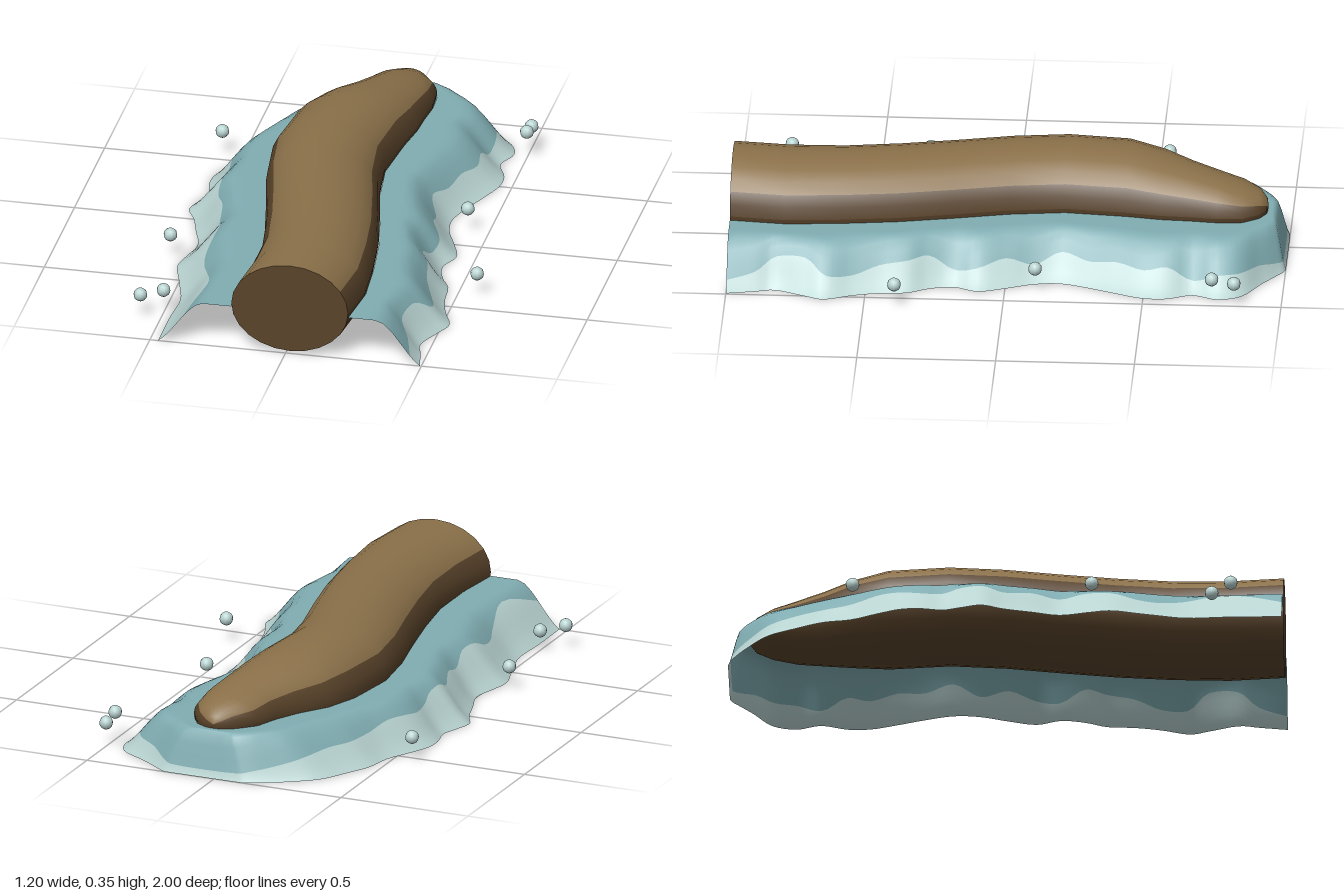
import * as THREE from 'three';

const mat = (name, color, side = THREE.FrontSide) => {
  const m = new THREE.MeshStandardMaterial({ color, side });
  m.name = name;
  return m;
};

// log cross-sections: z, left edge x, right edge x, half height
const SECTIONS = [
  [1, -0.2, 0.23, 0.17], [0.8, -0.18, 0.25, 0.17], [0.6, -0.18, 0.235, 0.17],
  [0.4, -0.21, 0.21, 0.17], [0.2, -0.25, 0.17, 0.17], [0, -0.295, 0.125, 0.17],
  [-0.2, -0.32, 0.1, 0.17], [-0.42, -0.295, 0.12, 0.17], [-0.55, -0.25, 0.14, 0.148],
  [-0.65, -0.18, 0.145, 0.128], [-0.75, -0.13, 0.155, 0.108], [-0.84, -0.1, 0.15, 0.083],
  [-0.9, -0.04, 0.11, 0.06], [-0.925, 0, 0.07, 0.03], [-0.93, 0.035, 0.035, 0],
];
const MID_Y = 0.18;

// water rim: z, outer x, fraction of the width where the foam begins
const LEFT_RIM = [
  [1, -0.47, 0.69], [0.8, -0.47, 0.52], [0.65, -0.465, 0.65], [0.55, -0.49, 0.7],
  [0.48, -0.51, 0.68], [0.38, -0.535, 0.58], [0.3, -0.52, 0.58], [0.2, -0.5, 0.68],
  [0.1, -0.53, 0.62], [0, -0.56, 0.66], [-0.08, -0.595, 0.58], [-0.15, -0.575, 0.6],
  [-0.22, -0.555, 0.68], [-0.3, -0.57, 0.68], [-0.37, -0.565, 0.65], [-0.45, -0.53, 0.64],
  [-0.55, -0.48, 0.7], [-0.65, -0.46, 0.72], [-0.75, -0.41, 0.72], [-0.85, -0.35, 0.75],
  [-0.92, -0.26, 0.8], [-0.98, -0.16, 0.85], [-1, -0.1, 0.88],
];
const RIGHT_RIM = [
  [-1, 0.19, 0.88], [-0.97, 0.24, 0.85], [-0.92, 0.31, 0.8], [-0.85, 0.42, 0.78],
  [-0.77, 0.45, 0.78], [-0.68, 0.42, 0.85], [-0.58, 0.455, 0.72], [-0.5, 0.455, 0.75],
  [-0.4, 0.42, 0.72], [-0.3, 0.38, 0.75], [-0.2, 0.35, 0.7], [-0.1, 0.36, 0.8],
  [0, 0.4, 0.72], [0.1, 0.43, 0.78], [0.18, 0.4, 0.82], [0.28, 0.42, 0.68],
  [0.35, 0.455, 0.7], [0.45, 0.465, 0.73], [0.55, 0.49, 0.8], [0.64, 0.525, 0.78],
  [0.72, 0.5, 0.65], [0.82, 0.46, 0.67], [0.9, 0.475, 0.8], [1, 0.495, 0.86],
];

// spray drops: x, y, z
const DROPS = [
  [0.5, 0.09, -0.83], [0.5, 0.105, -0.75], [0.425, 0.095, -0.11], [0.57, 0.088, 0.39],
  [-0.575, 0.095, -0.54], [-0.575, 0.09, 0.32], [-0.505, 0.08, 0.75], [-0.575, 0.088, 0.82],
];

// edge of the log (column 1 left, 2 right) at a given z
function logEdge(z, column) {
  for (let i = 1; i < SECTIONS.length; i++) {
    const a = SECTIONS[i - 1], b = SECTIONS[i];
    if (z >= b[0]) return THREE.MathUtils.lerp(b[column], a[column], (z - b[0]) / (a[0] - b[0]));
  }
  return 0.035;
}

// grid of points[row][column] as a surface; materialOf(column) picks the colour
function gridGeometry(points, materialOf) {
  const cols = points[0].length, groups = [[], []];
  for (let i = 0; i < points.length - 1; i++) {
    for (let j = 0; j < cols - 1; j++) {
      const a = i * cols + j, b = a + 1, c = a + cols, d = c + 1;
      groups[materialOf(j)].push(a, c, b, b, c, d);
    }
  }
  const g = new THREE.BufferGeometry().setFromPoints(points.flat());
  g.setIndex(groups.flat());
  g.addGroup(0, groups[0].length, 0);
  g.addGroup(groups[0].length, groups[1].length, 1);
  g.computeVertexNormals();
  return g;
}

export function createModel() {
  const model = new THREE.Group();
  const add = (name, geometry, material) => {
    const mesh = new THREE.Mesh(geometry, material);
    mesh.name = name;
    model.add(mesh);
    return mesh;
  };
  const lightBark = mat('lightBark', 0x8a7049);
  const darkBark = mat('darkBark', 0x59432a);
  const water = mat('water', 0x80adb2, THREE.DoubleSide);
  const foam = mat('foam', 0xb9d4d2, THREE.DoubleSide);

  // winding body: sunlit back above, darker flanks and belly below
  const sides = 24;
  const rings = SECTIONS.map(([z, l, r, h]) => Array.from({ length: sides + 1 }, (_, j) => {
    const a = (j / sides) * Math.PI * 2;
    return new THREE.Vector3((l + r) / 2 + Math.cos(a) * (r - l) / 2, MID_Y + Math.sin(a) * h, z);
  }));
  add('body', gridGeometry(rings, (j) => (j >= 2 && j < 10 ? 0 : 1)), [lightBark, darkBark]);

  // flat cut at the front
  const cut = add('cutEnd', new THREE.CircleGeometry(1, sides), darkBark);
  cut.scale.set(0.215, 0.17, 1);
  cut.position.set(0.015, MID_Y, 1);

  // water sheet: flat beside the body, then rolling down to a wavy foam rim
  const rim = new THREE.CatmullRomCurve3(
    [...LEFT_RIM, ...RIGHT_RIM].map(([z, x, b]) => new THREE.Vector3(x, b, z)));
  const height = (t) => {
    const s = Math.max(0, (t - 0.4) / 0.6);
    return 0.165 * (0.25 * (1 + Math.cos(Math.PI * s)) + 0.5 * (1 - s ** 1.4));
  };
  const waterRows = 7, foamRows = 5, steps = 184;
  const sheet = [];
  for (let i = 0; i <= steps; i++) {
    const p = rim.getPoint(i / steps);
    const z = THREE.MathUtils.clamp(p.z, -1, 1);
    const innerZ = z > -0.6 ? z : -0.6 + (z + 0.6) * 0.81;
    const left = logEdge(innerZ, 1), right = logEdge(innerZ, 2);
    // cross smoothly from the left edge to the right one behind the tip
    const across = z > -0.97 ? (p.x < 0.04 ? 0 : 1) : THREE.MathUtils.smoothstep(p.x, -0.16, 0.24);
    const innerX = THREE.MathUtils.lerp(left, right, across);
    const row = [];
    for (let k = 0; k <= waterRows + foamRows; k++) {
      const t = k <= waterRows ? p.y * k / waterRows : p.y + (1 - p.y) * (k - waterRows) / foamRows;
      row.push(new THREE.Vector3(
        THREE.MathUtils.lerp(innerX, p.x, t), height(t), THREE.MathUtils.lerp(innerZ, z, t)));
    }
    sheet.push(row.reverse());
  }
  add('waterSheet', gridGeometry(sheet, (j) => (j < foamRows ? 1 : 0)), [water, foam]);

  // spray drops
  const dropGeometry = new THREE.SphereGeometry(0.025, 10, 8);
  DROPS.forEach((p) => add('drop', dropGeometry, foam).position.set(...p));

  return model;
}
